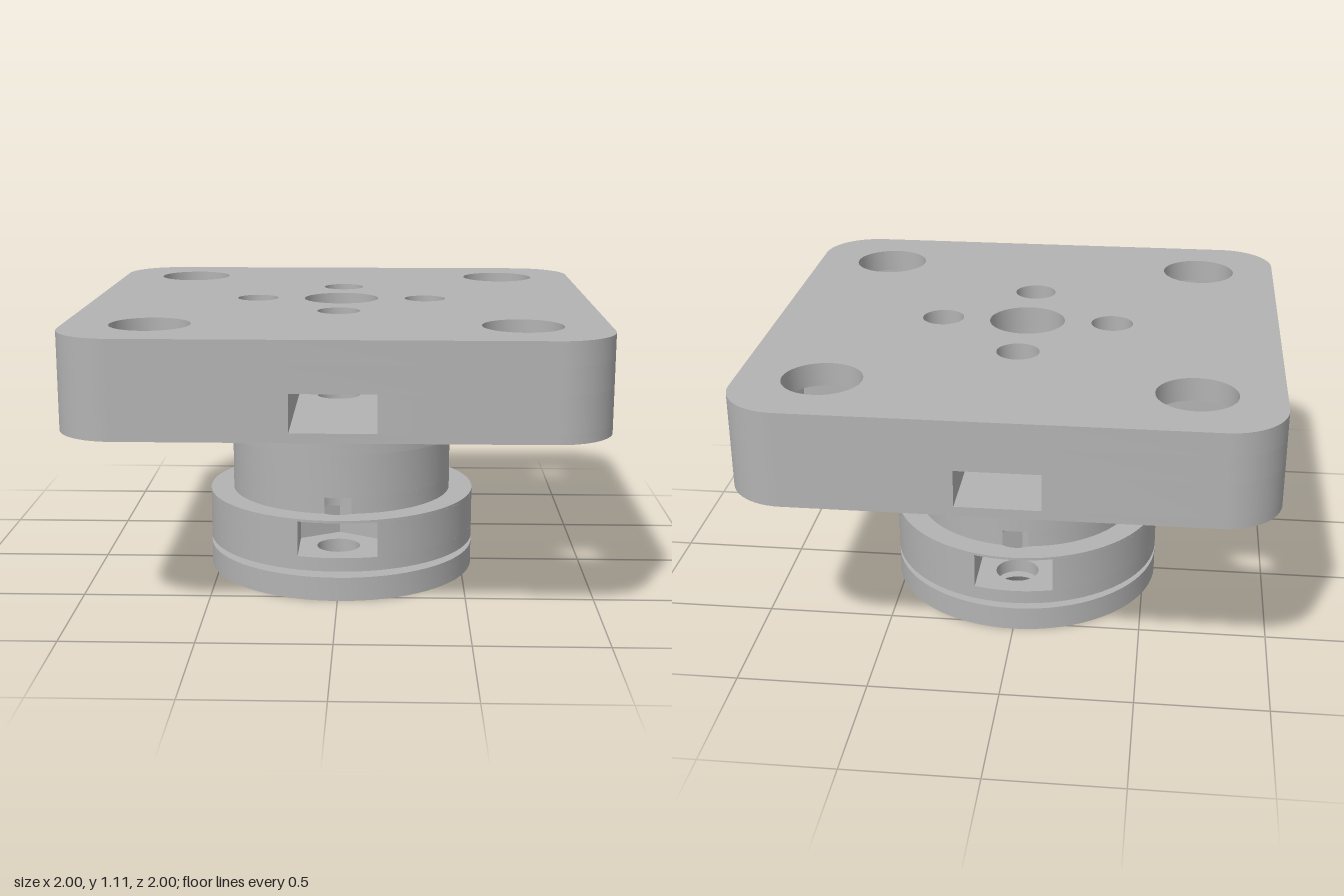
import * as THREE from 'three';
import { toCreasedNormals } from 'three/addons/utils/BufferGeometryUtils.js';

const BORE = 0.075, COUNTERBORE = 0.15;   // central shaft hole
const CORNER = 0.68, SMALL = 0.34;        // plate hole positions
const SCREW_Z = 0.38, SCREW_R = 0.085;    // lower screw holes
const SLOT = 0.155, NUT = 0.179;          // nut slot half width, nut radius

const v = (x, y) => new THREE.Vector2(x, y);

// points along an arc, angles in radians
function arc(cx, cy, r, a0, a1, n) {
  return Array.from({ length: n + 1 }, (_, i) => {
    const a = a0 + (a1 - a0) * i / n;
    return v(cx + r * Math.cos(a), cy + r * Math.sin(a));
  });
}

// repeats one sector of an outline n times round the centre
function repeat(points, n) {
  const out = [];
  for (let i = 0; i < n; i++) {
    for (const p of points) out.push(p.clone().rotateAround(v(0, 0), i * 2 * Math.PI / n));
  }
  return out;
}

const disc = (r, x = 0, y = 0, n = 48) => arc(x, y, r, 0, 2 * Math.PI, n).slice(0, -1);
const hexagon = (x, y) => disc(0.27, x, y, 6);

// side slot that ends in the point of a nut
const nutSlot = (edge, c) => [
  v(-SLOT, -edge), v(-SLOT, -(c - NUT / 2)), v(0, -(c - NUT)), v(SLOT, -(c - NUT / 2)), v(SLOT, -edge),
];

export function createModel() {
  const group = new THREE.Group();
  const grey = new THREE.MeshStandardMaterial({ color: 0xb3b3b3, side: THREE.DoubleSide });
  grey.name = 'plain grey';

  // a horizontal slab with vertical holes; edit may move its vertices
  function slab(name, outline, holes, y0, y1, edit) {
    const shape = new THREE.Shape(outline);
    shape.holes = holes.map((h) => new THREE.Path(h));
    const geo = new THREE.ExtrudeGeometry(shape, { depth: y1 - y0, bevelEnabled: false });
    geo.rotateX(-Math.PI / 2).translate(0, y0, 0);
    if (edit) edit(geo.attributes.position);
    const mesh = new THREE.Mesh(toCreasedNormals(geo, 0.5), grey);
    mesh.name = name;
    group.add(mesh);
  }

  // square mounting plate
  const corner = arc(0.78, -0.78, 0.22, -Math.PI / 2, 0, 14);
  const square = repeat(corner, 4);
  const slotted = repeat([...nutSlot(1, SMALL), ...corner], 4);
  const corners = [[1, 1], [-1, 1], [-1, -1], [1, -1]].map(([x, y]) => [x * CORNER, y * CORNER]);
  const hexes = corners.map(([x, y]) => hexagon(x, y));
  const rounds = corners.map(([x, y]) => disc(0.15, x, y));
  const smalls = [0, 1, 2, 3].map((i) =>
    disc(0.083, SMALL * Math.cos(i * Math.PI / 2), SMALL * Math.sin(i * Math.PI / 2), 32));
  const centre = disc(COUNTERBORE);
  const crossHoles = [centre, ...smalls];

  slab('plateFloor', square, [...hexes, ...crossHoles], 0.745, 0.78);
  slab('plateSlotLayer', slotted, [...hexes, centre], 0.78, 0.92);
  slab('plateUpperLayer', square, [...hexes, ...crossHoles], 0.92, 1.02);
  slab('plateTop', square, [...rounds, ...crossHoles], 1.02, 1.11);

  // neck under the plate
  const bore = disc(BORE);
  slab('upperCollar', disc(0.5, 0, 0, 72), [centre], 0.575, 0.745);
  slab('neck', disc(0.45, 0, 0, 72), [bore], 0.39, 0.575);

  // foot of the neck, where the screw holes break through its surface
  const R = 0.45;
  const yCut = (R * R + SCREW_Z * SCREW_Z - SCREW_R * SCREW_R) / (2 * SCREW_Z);
  const xCut = Math.sqrt(R * R - yCut * yCut);
  const inner = Math.atan2(SCREW_Z - yCut, xCut);
  const outer = Math.atan2(-yCut, xCut);
  const notch = arc(0, -SCREW_Z, SCREW_R, Math.PI - inner, inner, 24).reverse();
  notch.reverse();
  const neckSide = arc(0, 0, R, outer, -outer, 36).slice(1, -1);
  slab('neckFoot', repeat([...notch, ...neckSide], 2), [bore], 0.325, 0.39);

  // lower collar with a nut slot at front and back
  const screws = [1, -1].map((s) => disc(SCREW_R, 0, s * SCREW_Z, 32));
  const collar = disc(0.545, 0, 0, 72);
  const edge = Math.sqrt(0.545 ** 2 - SLOT ** 2);
  const a = Math.atan2(-edge, SLOT);
  const collarSide = arc(0, 0, 0.545, a, -a, 36).slice(1, -1);
  slab('lowerCollarTop', collar, [bore, ...screws], 0.315, 0.325);
  slab('lowerCollarSlotLayer', repeat([...nutSlot(edge, SCREW_Z), ...collarSide], 2), [bore], 0.175, 0.315);
  slab('lowerCollarBase', collar, [bore, ...screws], 0.12, 0.175);

  // spacer and bottom disc with countersunk screw holes
  slab('spacer', disc(0.25), [bore], 0.095, 0.12);
  const sink = 0.15;
  const sinks = [1, -1].map((s) => disc(sink, 0, s * SCREW_Z, 32));
  slab('bottomDisc', collar, [disc(0.095), ...sinks], 0, 0.095, (pos) => {
    for (let i = 0; i < pos.count; i++) {
      const x = pos.getX(i), z = pos.getZ(i), c = Math.sign(z) * SCREW_Z;
      if (pos.getY(i) > 0.05 && Math.abs(Math.hypot(x, z - c) - sink) < 0.0005
        && Math.hypot(x, z) < 0.544) {
        pos.setX(i, x * SCREW_R / sink);
        pos.setZ(i, c + (z - c) * SCREW_R / sink);
      }
    }
  });

  // three small keys round the central bore
  for (let i = 0; i < 3; i++) {
    const key = new THREE.Mesh(new THREE.BoxGeometry(0.04, 0.06, 0.055), grey);
    key.name = 'boreKey';
    key.position.set(0, 0.555, -0.0825);
    const pivot = new THREE.Group();
    pivot.name = 'boreKeyPivot';
    pivot.rotation.y = i * 2 * Math.PI / 3;
    pivot.add(key);
    group.add(pivot);
  }
  return group;
}
